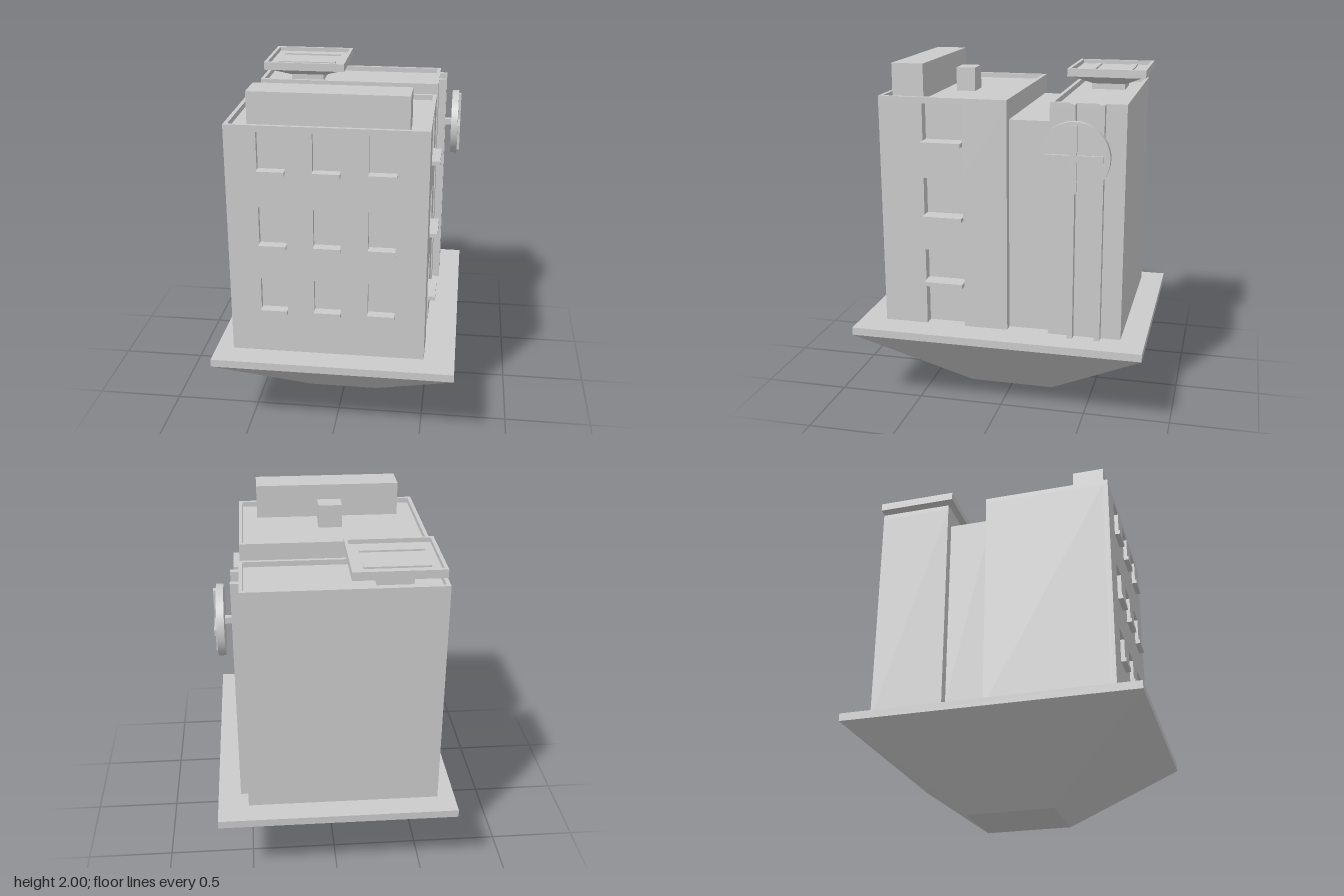
import * as THREE from 'three';

const material = new THREE.MeshStandardMaterial({ color: 0xcccccc });

export function createModel() {
  const model = new THREE.Group();

  const add = (name, geometry, parent = model) => {
    const mesh = new THREE.Mesh(geometry, material);
    mesh.name = name;
    parent.add(mesh);
    return mesh;
  };
  const group = (name) => {
    const g = new THREE.Group();
    g.name = name;
    model.add(g);
    return g;
  };

  // Box given by its limits on each axis
  const box = (x0, x1, y0, y1, z0, z1) =>
    new THREE.BoxGeometry(x1 - x0, y1 - y0, z1 - z0)
      .translate((x0 + x1) / 2, (y0 + y1) / 2, (z0 + z1) / 2);

  // Box whose lower face is shrunk about its own centre
  const taperedBox = (x0, x1, y0, y1, z0, z1, sx, sz) => {
    const g = new THREE.BoxGeometry(x1 - x0, y1 - y0, z1 - z0);
    const p = g.attributes.position;
    for (let i = 0; i < p.count; i++) {
      if (p.getY(i) < 0) {
        p.setX(i, p.getX(i) * sx);
        p.setZ(i, p.getZ(i) * sz);
      }
    }
    g.computeVertexNormals();
    return g.translate((x0 + x1) / 2, (y0 + y1) / 2, (z0 + z1) / 2);
  };

  const rect = (Type, u0, u1, v0, v1) => {
    const r = new Type();
    r.moveTo(u0, v0).lineTo(u1, v0).lineTo(u1, v1).lineTo(u0, v1).closePath();
    return r;
  };

  // Flat panel with rectangular openings
  const panel = (outer, openings, depth) => {
    const shape = rect(THREE.Shape, ...outer);
    openings.forEach((o) => shape.holes.push(rect(THREE.Path, ...o)));
    return new THREE.ExtrudeGeometry(shape, { depth, bevelEnabled: false });
  };

  // Raised rim around a flat roof
  const rim = (x0, x1, y0, y1, z0, z1, t) =>
    panel([x0, x1, -z1, -z0], [[x0 + t, x1 - t, t - z1, -z0 - t]], y1 - y0)
      .rotateX(-Math.PI / 2).translate(0, y0, 0);

  // Ground plinth
  add('plinthFoot', taperedBox(-0.685, 0.685, 0, 0.445, -0.845, 0.845, 0.3, 0.3));
  add('groundSlab', box(-0.685, 0.685, 0.445, 0.49, -0.845, 0.845));

  // Front block: core with pierced walls on the front and left sides
  const front = group('frontBlock');
  const floors = [[0.76, 0.945], [1.155, 1.37], [1.585, 1.795]];
  const columns = [-0.335, -0.035, 0.265];
  const frontOpenings = [];
  const sideOpenings = [[-0.44, -0.21, 0.49, 0.735]]; // doorway
  for (const [y0, y1] of floors) {
    for (const x of columns) {
      frontOpenings.push([x - 0.075, x + 0.075, y0, y1]);
      add('frontSill', box(x - 0.075, x + 0.075, y0 - 0.024, y0, 0.67, 0.725), front);
    }
    sideOpenings.push([-0.44, -0.21, y0, y1]);
    add('sideSill', box(0.46, 0.555, y0 - 0.024, y0, 0.21, 0.44), front);
  }
  add('core', box(-0.585, 0.45, 0.48, 1.8, -0.045, 0.665), front);
  add('frontWall', panel([-0.585, 0.51, 0.48, 1.8], frontOpenings, 0.03)
    .translate(0, 0, 0.665), front);
  add('sideWall', panel([-0.665, 0.045, 0.48, 1.8], sideOpenings, 0.06)
    .rotateY(Math.PI / 2).translate(0.45, 0, 0), front);
  add('parapet', rim(-0.585, 0.51, 1.8, 1.83, -0.045, 0.695, 0.022), front);
  add('roofHousing', box(-0.465, 0.4, 1.79, 2, 0.465, 0.65), front);
  add('roofVent', box(-0.105, 0.035, 1.79, 1.938, 0.265, 0.378), front);

  // Link between the two blocks
  add('linkBlock', box(-0.525, 0.455, 0.48, 1.715, -0.3, -0.03));

  // Rear block with vertical rails on its left side
  const rear = group('rearBlock');
  add('core', box(-0.585, 0.51, 0.48, 1.8, -0.705, -0.285), rear);
  add('parapet', rim(-0.585, 0.51, 1.8, 1.83, -0.705, -0.285, 0.022), rear);
  for (const z of [-0.575, -0.418]) {
    add('wallRail', box(0.5, 0.555, 0.48, 1.83, z - 0.016, z + 0.016), rear);
  }

  // Landing pad on the rear roof
  const pad = group('landingPad');
  add('padFoot', box(-0.41, -0.21, 1.79, 1.84, -0.6, -0.4), pad);
  add('padTaper', taperedBox(-0.54, -0.085, 1.835, 1.89, -0.715, -0.295, 0.47, 0.47), pad);
  add('padDeck', box(-0.56, -0.065, 1.89, 1.912, -0.738, -0.273), pad);
  add('padRim', rim(-0.56, -0.065, 1.912, 1.937, -0.738, -0.273, 0.02), pad);
  for (const z of [-0.623, -0.4]) {
    add('padRail', box(-0.49, -0.135, 1.91, 1.922, z - 0.018, z + 0.018), pad);
  }

  // Round sign on a bracket, with raised crossed bars
  const sign = group('roundSign');
  add('signBracket', box(0.5, 0.6, 1.537, 1.573, -0.46, -0.425), sign);
  add('signDisc', new THREE.CylinderGeometry(0.195, 0.195, 0.04, 48)
    .rotateZ(Math.PI / 2).translate(0.615, 1.555, -0.442), sign);
  add('signUprightBar', box(0.63, 0.65, 1.375, 1.735, -0.46, -0.424), sign);
  add('signLevelBar', box(0.63, 0.65, 1.537, 1.573, -0.6, -0.285), sign);

  return model;
}
